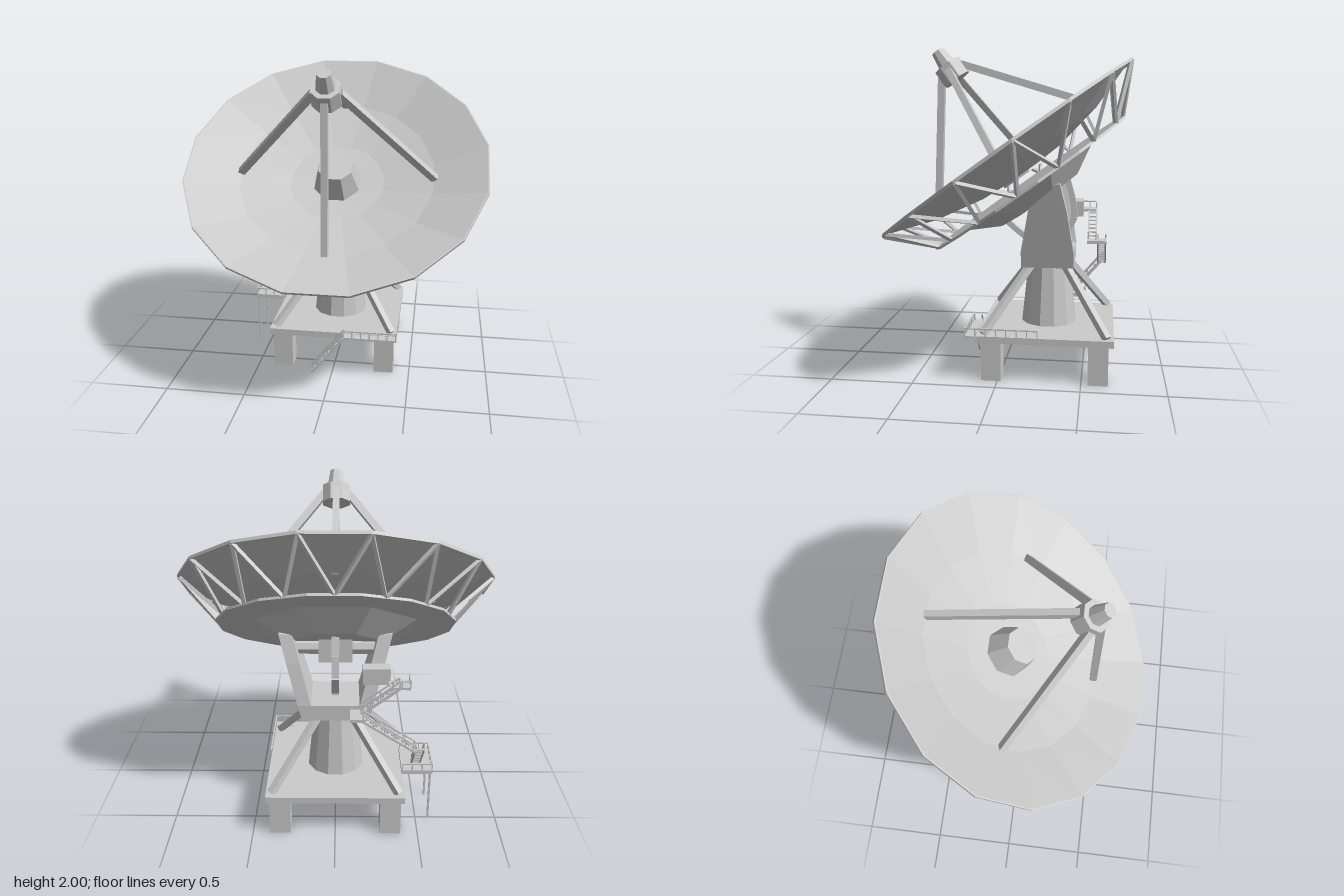
import * as THREE from 'three';

const mat = new THREE.MeshStandardMaterial({ color: 0xcccccc, flatShading: true, side: THREE.DoubleSide });
const V = (x, y, z) => new THREE.Vector3(x, y, z);

function add(parent, geo, name, x = 0, y = 0, z = 0) {
  const m = new THREE.Mesh(geo, mat);
  m.name = name;
  m.position.set(x, y, z);
  parent.add(m);
  return m;
}
const box = (parent, name, w, h, d, x, y, z) => add(parent, new THREE.BoxGeometry(w, h, d), name, x, y, z);

// Rectangular bar from a to b
function beam(parent, name, a, b, w, h = w) {
  const m = new THREE.Mesh(new THREE.BoxGeometry(w, h, a.distanceTo(b)), mat);
  m.name = name;
  m.position.copy(a).add(b).multiplyScalar(0.5);
  m.lookAt(b);
  parent.add(m);
}

// Faceted solid of revolution with flat sides facing the axes
function prism(parent, name, rTop, rBottom, y0, y1, sides) {
  const g = new THREE.CylinderGeometry(rTop, rBottom, y1 - y0, sides);
  g.rotateY(Math.PI / sides);
  return add(parent, g, name, 0, (y0 + y1) / 2, 0);
}
function turned(parent, name, profile, sides) {
  const pts = profile.map(([r, y]) => new THREE.Vector2(r, y));
  return add(parent, new THREE.LatheGeometry(pts, sides, Math.PI / sides), name);
}

// Two stringers, two handrails, posts and treads between a and b
function stair(parent, name, a, b, side, steps, railHeight = 0.045) {
  const g = new THREE.Group();
  g.name = name;
  for (const s of [-1, 1]) {
    const off = side.clone().multiplyScalar(s), up = V(0, railHeight, 0);
    const p = a.clone().add(off), q = b.clone().add(off);
    beam(g, 'stringer', p, q, 0.01, 0.014);
    beam(g, 'handrail', p.clone().add(up), q.clone().add(up), 0.008);
    for (let i = 0; i <= steps; i += 2) {
      const c = p.clone().lerp(q, i / steps);
      beam(g, 'post', c, c.clone().add(up), 0.007);
    }
  }
  for (let i = 0; i <= steps; i++) {
    const c = a.clone().lerp(b, i / steps);
    beam(g, 'tread', c.clone().sub(side), c.clone().add(side), 0.016, 0.008);
  }
  parent.add(g);
}

// Handrail with posts along a path of floor points
function railing(parent, pts, h = 0.045) {
  for (let i = 0; i < pts.length - 1; i++) {
    const up = V(0, h, 0), a = pts[i], b = pts[i + 1];
    beam(parent, 'railing', a.clone().add(up), b.clone().add(up), 0.008);
    const n = Math.max(1, Math.round(a.distanceTo(b) / 0.06));
    for (let k = 0; k <= n; k++) {
      const c = a.clone().lerp(b, k / n);
      beam(parent, 'railingPost', c, c.clone().add(up), 0.007);
    }
  }
}

function buildDish() {
  const dish = new THREE.Group();
  dish.name = 'dish';
  const R = 0.958, N = 16;
  turned(dish, 'reflector', [[R, -0.018], [R, 0], [0.95, 0], [0.62, -0.115], [0.3, -0.178], [0, -0.195]], N);
  turned(dish, 'rimLip', [[R, -0.018], [0.94, -0.018], [0.935, -0.008]], N);
  turned(dish, 'backPlate', [[0, -0.255], [0.724, -0.255], [0.724, -0.27], [0, -0.27]], N);
  prism(dish, 'backCone', 0.53, 0.307, -0.382, -0.262, 8);
  prism(dish, 'centreHub', 0.112, 0.158, -0.2, -0.03, 8);
  // Zigzag truss between rim and back plate
  const polar = (r, a, y) => V(r * Math.sin(a), y, r * Math.cos(a));
  for (let i = 0; i < N; i++) {
    const a = (i + 0.5) * 2 * Math.PI / N, d = Math.PI / N;
    for (const s of [-1, 1])
      beam(dish, 'trussStrut', polar(0.945, a, -0.015), polar(0.7, a + s * d * 0.97, -0.26), 0.02);
  }
  // Feed and its four legs
  prism(dish, 'feedHousing', 0.092, 0.092, 0.525, 0.635, 8);
  prism(dish, 'feedCone', 0.042, 0.064, 0.6, 0.74, 8);
  for (let i = 0; i < 4; i++) {
    const a = i * Math.PI / 2;
    beam(dish, 'feedLeg', polar(0.075, a, 0.59), polar(0.615, a, -0.11), 0.04, 0.045);
  }
  dish.position.set(0, 1.375, 0);
  dish.rotation.x = 0.622;
  return dish;
}

function buildMount() {
  const mount = new THREE.Group();
  mount.name = 'mount';
  // Arms: side outline extruded across x, leaning outwards with height
  const outline = [[-0.12, 0.66], [-0.12, 0.76], [-0.17, 1.02], [-0.25, 1.19], [-0.36, 1.19], [-0.4, 1.02], [-0.44, 0.76], [-0.44, 0.66]];
  const shape = new THREE.Shape(outline.map(([z, y]) => new THREE.Vector2(-z, y)));
  for (const s of [-1, 1]) {
    const g = new THREE.ExtrudeGeometry(shape, { depth: 0.08, bevelEnabled: false });
    g.rotateY(Math.PI / 2);
    const p = g.attributes.position;
    for (let i = 0; i < p.count; i++)
      p.setX(i, p.getX(i) - 0.04 + s * (0.16 + (p.getY(i) - 0.66) * 0.25));
    g.computeVertexNormals();
    add(mount, g, 'yokeArm');
  }
  box(mount, 'yokeBase', 0.36, 0.1, 0.32, 0, 0.71, -0.28);
  const axle = add(mount, new THREE.CylinderGeometry(0.05, 0.05, 0.56, 8), 'elevationAxle', 0, 1.08, -0.28);
  axle.rotation.z = Math.PI / 2;
  box(mount, 'axleBlock', 0.2, 0.16, 0.14, 0, 1.08, -0.27);
  // Curved elevation track under the dish
  const track = [[0.03, 0.95], [-0.06, 0.87], [-0.16, 0.79], [-0.28, 0.77], [-0.38, 0.83], [-0.44, 0.95], [-0.42, 1.08], [-0.38, 1.22]];
  for (let i = 0; i < track.length - 1; i++) {
    const [a, b] = [track[i], track[i + 1]];
    beam(mount, 'elevationTrack', V(0, a[1], a[0]), V(0, b[1], b[0]), 0.045, 0.035);
  }
  box(mount, 'driveBox', 0.16, 0.1, 0.08, -0.24, 0.975, -0.445);
  return mount;
}

function buildBase() {
  const base = new THREE.Group();
  base.name = 'base';
  const cz = -0.28;
  box(base, 'deck', 0.83, 0.04, 0.82, 0, 0.26, cz);
  const pier = prism(base, 'pier', 0.135, 0.175, 0.28, 0.66, 12);
  pier.position.z = cz;
  for (const sx of [-1, 1]) for (const sz of [-1, 1]) {
    box(base, 'foundationBlock', 0.125, 0.24, 0.12, sx * 0.333, 0.12, cz + sz * 0.32);
    beam(base, 'cornerBrace', V(sx * 0.38, 0.285, cz + sz * 0.37), V(sx * 0.11, 0.655, cz + sz * 0.11), 0.04);
  }
  return base;
}

function buildAccess() {
  const access = new THREE.Group();
  access.name = 'accessWays';
  // Front stair and wrap-around walkway
  stair(access, 'frontStair', V(-0.13, 0.012, 0.17), V(0.08, 0.27, 0.17), V(0, 0, 0.025), 9);
  box(access, 'frontWalkway', 0.34, 0.012, 0.06, 0.25, 0.274, 0.165);
  railing(access, [V(0.08, 0.28, 0.193), V(0.415, 0.28, 0.193), V(0.415, 0.28, -0.24)]);
  // Lower landing on its posts
  box(access, 'lowerLanding', 0.19, 0.025, 0.25, -0.5, 0.335, -0.375);
  for (const z of [-0.26, -0.49]) box(access, 'landingPost', 0.012, 0.33, 0.012, -0.58, 0.165, z);
  railing(access, [V(-0.41, 0.345, -0.255), V(-0.59, 0.345, -0.255), V(-0.59, 0.345, -0.495), V(-0.41, 0.345, -0.495)]);
  // Flights climbing to the drive box
  stair(access, 'lowerFlight', V(-0.495, 0.35, -0.42), V(-0.495, 0.56, -0.6), V(0.025, 0, 0), 8);
  stair(access, 'middleFlight', V(-0.47, 0.56, -0.607), V(-0.16, 0.765, -0.607), V(0, 0, 0.025), 10);
  box(access, 'middleLanding', 0.09, 0.02, 0.12, -0.13, 0.77, -0.575);
  stair(access, 'upperFlight', V(-0.15, 0.775, -0.545), V(-0.37, 0.945, -0.545), V(0, 0, 0.025), 8);
  box(access, 'upperLanding', 0.12, 0.015, 0.1, -0.37, 0.945, -0.52);
  railing(access, [V(-0.43, 0.945, -0.475), V(-0.43, 0.945, -0.567), V(-0.33, 0.945, -0.567)]);
  return access;
}

export function createModel() {
  const model = new THREE.Group();
  model.name = 'radioTelescope';
  model.add(buildBase(), buildMount(), buildDish(), buildAccess());
  return model;
}
